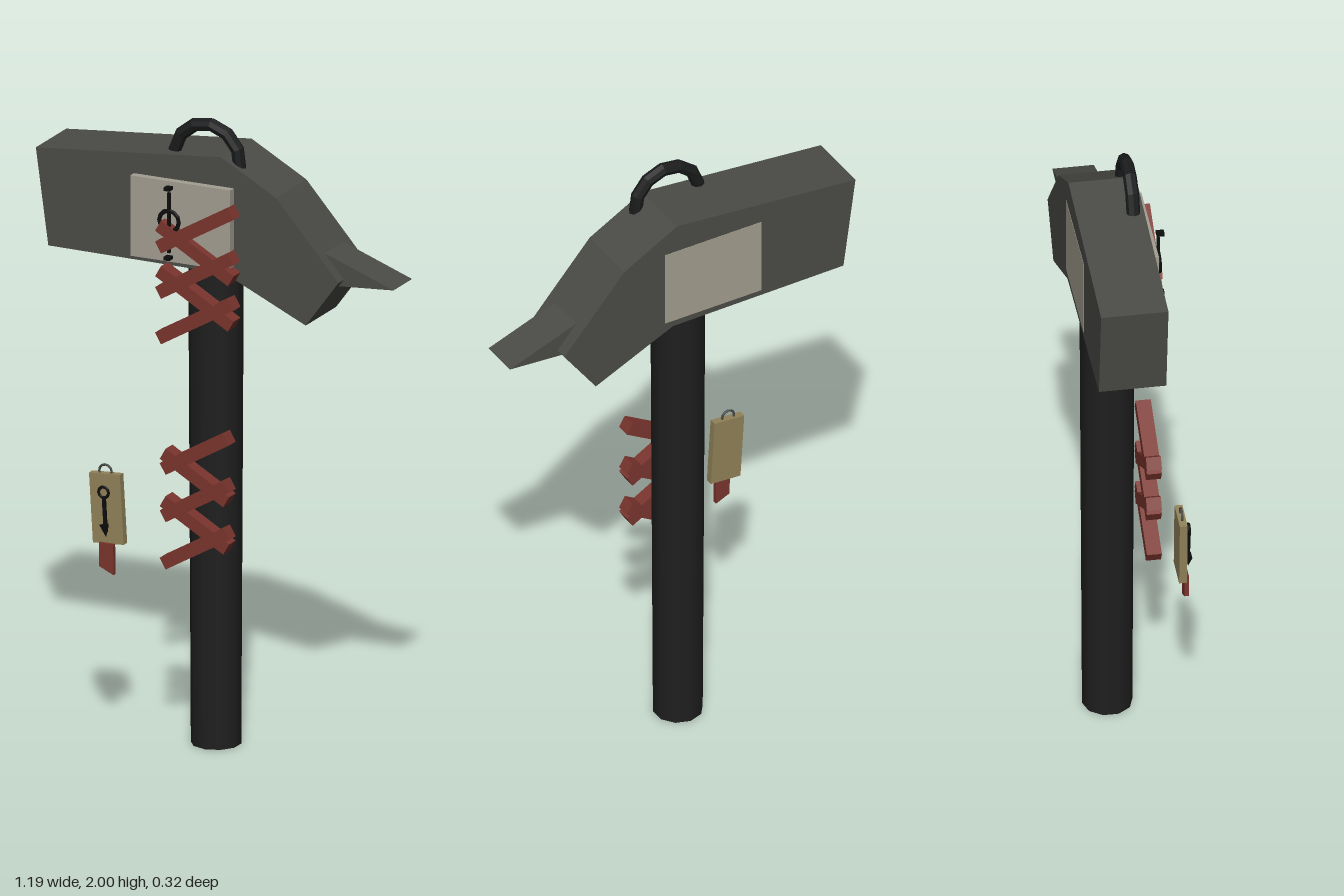
import * as THREE from 'three';

const mat = (name, color) => {
  const m = new THREE.MeshStandardMaterial({ color, flatShading: true });
  m.name = name;
  return m;
};

export function createModel() {
  const iron = mat('dark iron', 0x4b4c47);
  const grip = mat('black wood', 0x1f1f1f);
  grip.flatShading = false;
  const hookMat = mat('blackened steel', 0x1a1b1c);
  const red = mat('red leather', 0x7a352d);
  const pale = mat('pale plate', 0xa39e90);
  const tan = mat('tan tag', 0x918259);
  const ink = mat('black ink', 0x0d0d0d);
  const wire = mat('grey wire', 0x484848);

  const model = new THREE.Group();
  model.name = 'hammer';
  const add = (name, geo, material, x = 0, y = 0, z = 0, rz = 0, parent = model) => {
    const m = new THREE.Mesh(geo, material);
    m.name = name;
    m.position.set(x, y, z);
    m.rotation.z = rz;
    parent.add(m);
    return m;
  };
  // Outline in x, y extruded from z0 to z1
  const slab = (pts, z0, z1) => {
    const shape = new THREE.Shape(pts.map(([x, y]) => new THREE.Vector2(x, y)));
    return new THREE.ExtrudeGeometry(shape, { depth: z1 - z0, bevelEnabled: false }).translate(0, 0, z0);
  };
  const box = (w, h, d) => new THREE.BoxGeometry(w, h, d);

  // Shaft, slightly wider at the top
  add('shaft', new THREE.CylinderGeometry(0.085, 0.077, 1.56, 10), grip, -0.036, 0.78, -0.06);

  // Head and its pointed beak
  add('head', slab([
    [-0.595, 1.835], [-0.553, 1.53], [0.045, 1.525], [0.315, 1.4],
    [0.425, 1.55], [0.36, 1.625], [0.215, 1.79], [0.03, 1.893],
  ], -0.168, 0.038), iron);
  add('beak', slab([[0.355, 1.627], [0.405, 1.527], [0.592, 1.54]], -0.127, 0), iron);

  // Inlay running through the head
  add('inlayPlate', box(0.337, 0.255, 0.231), pale, -0.096, 1.673, -0.0535);

  // Hanging hook on top
  add('hook', new THREE.TorusGeometry(0.11, 0.021, 8, 6, Math.PI), hookMat, -0.034, 1.87, 0.003, -0.13);

  // Crossed straps, alternating direction
  const straps = (name, y0, step, length) => {
    const g = new THREE.Group();
    g.name = name;
    for (let i = 0; i < 5; i++) {
      add('strap', box(length, 0.04, 0.046), red, -0.035, y0 + i * step, 0.066,
        (i % 2 ? -1 : 1) * Math.PI / 6, g);
    }
    model.add(g);
  };
  straps('upperStraps', 1.377, 0.072, 0.283);
  straps('lowerStraps', 0.656, 0.075, 0.247);

  // Ring and bar emblem in front of the plate
  const emblem = new THREE.Group();
  emblem.name = 'emblem';
  emblem.position.set(-0.124, 1.676, 0.082);
  model.add(emblem);
  add('emblemRing', new THREE.TorusGeometry(0.033, 0.007, 6, 12), ink, 0, 0.005, 0, 0, emblem);
  add('emblemBar', box(0.01, 0.19, 0.01), ink, 0, 0, 0, 0, emblem);
  for (const s of [-1, 1]) {
    add('emblemDot', box(0.02, 0.011, 0.024), ink, 0, s * 0.11, 0.006, 0, emblem);
  }

  // Tag with wire loop, arrow and ribbon
  const tag = new THREE.Group();
  tag.name = 'tag';
  tag.position.set(-0.31, 0.757, 0.121);
  tag.rotation.z = 0.06;
  model.add(tag);
  add('tagBoard', box(0.104, 0.22, 0.024), tan, 0, 0, 0, 0, tag);
  add('tagLoop', new THREE.TorusGeometry(0.021, 0.004, 6, 12), wire, -0.002, 0.115, 0, 0, tag);
  add('arrowRing', new THREE.TorusGeometry(0.017, 0.005, 6, 10), ink, 0, 0.055, 0.024, 0, tag);
  add('arrowBar', box(0.01, 0.11, 0.009), ink, 0, -0.015, 0.024, 0, tag);
  add('arrowTip', new THREE.ConeGeometry(0.019, 0.04, 3), ink, 0, -0.066, 0.024, 0, tag).rotation.x = Math.PI;
  add('ribbon', slab([[-0.33, 0.65], [-0.329, 0.575], [-0.281, 0.553], [-0.282, 0.65]], 0.129, 0.143), red);

  return model;
}
